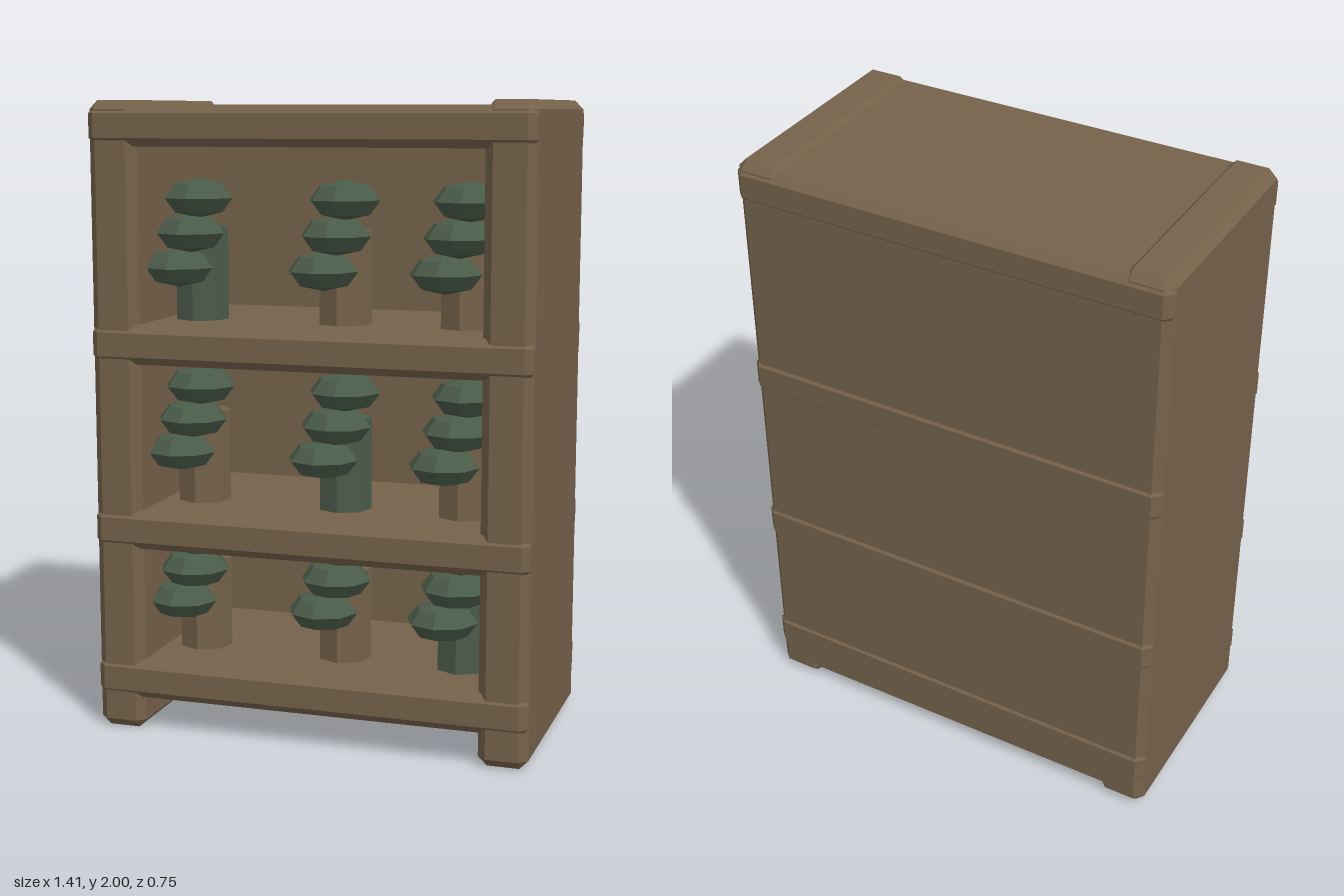
import * as THREE from 'three';
import { ConvexGeometry } from 'three/addons/geometries/ConvexGeometry.js';

const wood = new THREE.MeshStandardMaterial({ color: 0x75624a });
wood.name = 'brown wood';
const leaf = new THREE.MeshStandardMaterial({ color: 0x4a5c4a });
leaf.name = 'dull green';

// Box with all edges cut at 45 degrees, given by its min and max corners
function chamferBox(name, min, max, c) {
  const h = min.map((v, i) => (max[i] - v) / 2);
  const points = [];
  for (const sx of [-1, 1]) for (const sy of [-1, 1]) for (const sz of [-1, 1]) {
    for (let axis = 0; axis < 3; axis++) {
      const p = h.map((v, i) => (i === axis ? v : v - c));
      points.push(new THREE.Vector3(sx * p[0], sy * p[1], sz * p[2]));
    }
  }
  const mesh = new THREE.Mesh(new ConvexGeometry(points), wood);
  mesh.position.set(...min.map((v, i) => (v + max[i]) / 2));
  mesh.name = name;
  return mesh;
}

// Faceted mesh from an indexed geometry
function faceted(name, geometry, material, x, y, z) {
  const flat = geometry.toNonIndexed();
  flat.computeVertexNormals();
  const mesh = new THREE.Mesh(flat, material);
  mesh.position.set(x, y, z);
  mesh.name = name;
  return mesh;
}

// Small stump carrying three leaning leaf clumps
function createPlant(trunkMaterial) {
  const plant = new THREE.Group();
  plant.name = 'plant';
  plant.add(faceted('trunk', new THREE.CylinderGeometry(0.085, 0.085, 0.3, 7), trunkMaterial, 0, 0.145, 0.115));
  const clumps = [[-0.045, 0.17, 0.195], [0, 0.28, 0.205], [0.032, 0.39, 0.215]];
  for (const [x, y, z] of clumps) {
    const blob = new THREE.SphereGeometry(0.113, 8, 4);
    blob.scale(1, 0.55, 1);
    plant.add(faceted('leafClump', blob, leaf, x, y, z));
  }
  return plant;
}

export function createModel() {
  const model = new THREE.Group();
  model.name = 'plantShelf';

  // Side panels, which also form the feet
  model.add(chamferBox('leftSide', [0.548, 0, -0.37], [0.705, 2, 0.37], 0.028));
  model.add(chamferBox('rightSide', [-0.705, 0, -0.37], [-0.548, 2, 0.37], 0.028));

  // Back panel
  model.add(chamferBox('backPanel', [-0.69, 0.03, -0.37], [0.69, 1.97, -0.31], 0.02));

  // Shelves, from bottom to top
  const shelfTops = [0.23, 0.72, 1.31, 1.985];
  for (const top of shelfTops) {
    model.add(chamferBox('shelf', [-0.705, top - 0.125, -0.377], [0.705, top, 0.377], 0.025));
  }

  // Three plants on each open shelf, one per row with a green trunk
  const columns = [0.44, 0.05, -0.43];
  for (let row = 0; row < 3; row++) {
    columns.forEach((x, col) => {
      const plant = createPlant(row === col ? leaf : wood);
      plant.position.set(x, shelfTops[row], 0);
      model.add(plant);
    });
  }
  return model;
}
